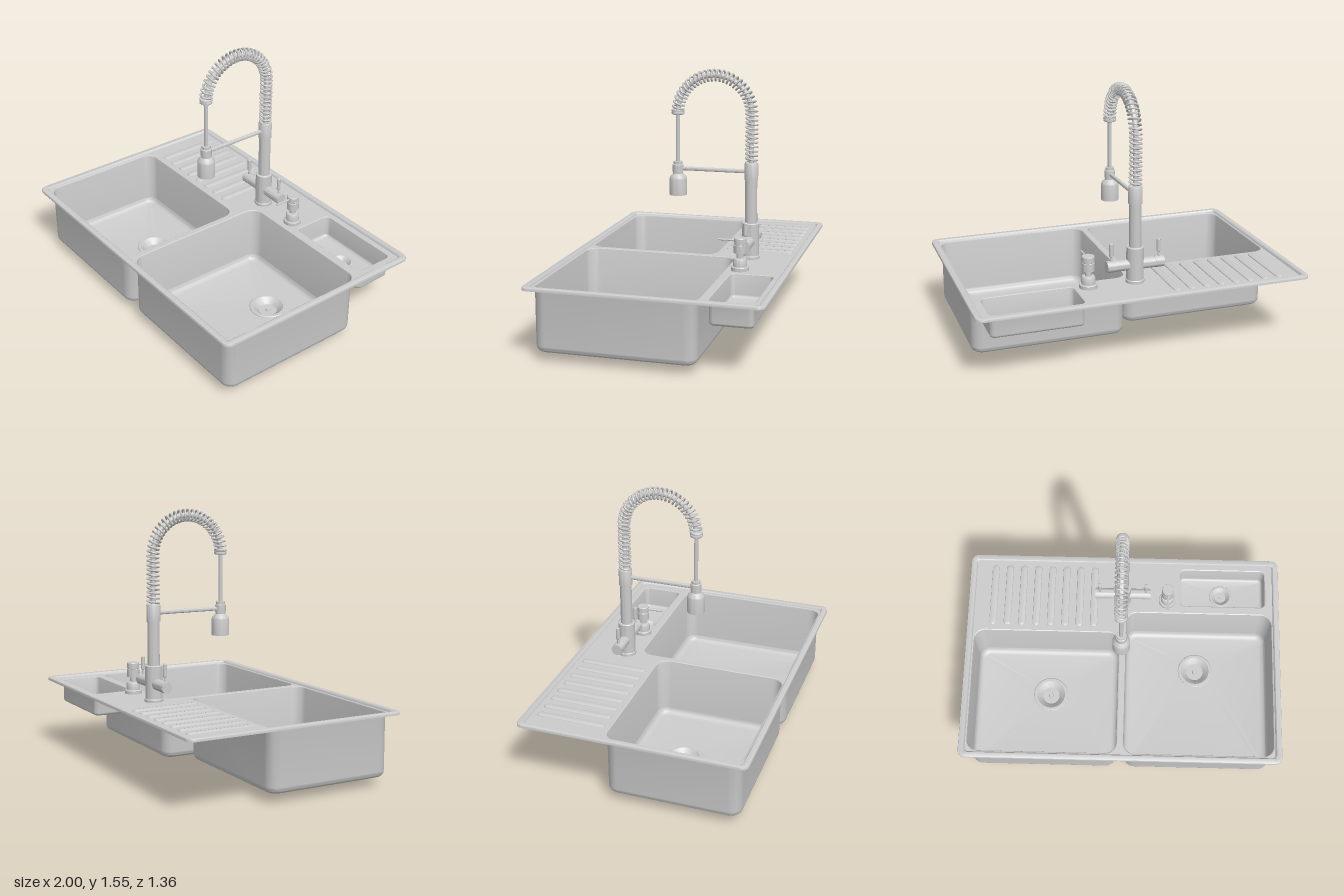
import * as THREE from 'three';
import { toCreasedNormals } from 'three/addons/utils/BufferGeometryUtils.js';

const steel = new THREE.MeshStandardMaterial({ color: 0xcccccc, side: THREE.DoubleSide });
const DECK = 0.422;          // level of the recessed deck
const FX = -0.005, FZ = -0.387; // tap axis

function add(parent, name, geo, x = 0, y = 0, z = 0, crease = 0.6) {
  const m = new THREE.Mesh(toCreasedNormals(geo, crease), steel);
  m.name = name;
  m.position.set(x, y, z);
  parent.add(m);
  return m;
}

// Plan outline of a rounded rectangle; equal half sizes and radius give a circle
function ring(cx, cz, hw, hd, r, n = 8) {
  const pts = [];
  [[1, 1], [-1, 1], [-1, -1], [1, -1]].forEach(([sx, sz], q) => {
    for (let i = 0; i <= n; i++) {
      const a = (q + i / n) * Math.PI / 2;
      pts.push([cx + sx * (hw - r) + r * Math.cos(a), cz + sz * (hd - r) + r * Math.sin(a)]);
    }
  });
  return pts;
}

// Skin through rings given as [outline, y]
function loft(rings) {
  const pos = [], idx = [], n = rings[0][0].length;
  rings.forEach(([pts, y]) => pts.forEach(([x, z]) => pos.push(x, y, z)));
  for (let j = 0; j < rings.length - 1; j++) {
    for (let i = 0; i < n; i++) {
      const a = j * n + i, b = j * n + (i + 1) % n;
      idx.push(a, a + n, b, b, a + n, b + n);
    }
  }
  const g = new THREE.BufferGeometry();
  g.setAttribute('position', new THREE.Float32BufferAttribute(pos, 3));
  g.setIndex(idx);
  return g;
}

const lathe = (pts, seg = 40) =>
  new THREE.LatheGeometry(pts.map(([r, y]) => new THREE.Vector2(r, y)), seg);
const rod = (r, h, seg = 24) => new THREE.CylinderGeometry(r, r, h, seg);
const toPath = (pts) => pts.map(([x, z]) => new THREE.Vector2(x, z));

const BOWLS = [
  { name: 'rightBowl', x0: -0.95, x1: -0.025, z0: -0.16, z1: 0.63, y: 0.05, r: 0.07, f: 0.04, dx: -0.468, dz: 0.148, s: 1 },
  { name: 'leftBowl', x0: 0.02, x1: 0.95, z0: -0.3, z1: 0.63, y: 0.05, r: 0.07, f: 0.04, dx: 0.482, dz: -0.038, s: 1 },
  { name: 'smallBowl', x0: 0.365, x1: 0.91, z0: -0.604, z1: -0.357, y: 0.28, r: 0.03, f: 0.02, dx: 0.637, dz: -0.483, s: 0.65 },
];

const bowlRing = (b, inset) => ring((b.x0 + b.x1) / 2, (b.z0 + b.z1) / 2,
  (b.x1 - b.x0) / 2 - inset, (b.z1 - b.z0) / 2 - inset, b.r - inset);

function buildBowl(b) {
  const g = new THREE.Group();
  g.name = b.name;
  // Soft lip, wall, rounded bottom edge, floor falling to the drain
  const rings = [[bowlRing(b, -0.007), DECK], [bowlRing(b, -0.002), DECK - 0.003], [bowlRing(b, 0), DECK - 0.01]];
  for (let i = 0; i <= 6; i++) {
    const a = i / 6 * Math.PI / 2;
    rings.push([bowlRing(b, b.f * (1 - Math.cos(a))), b.y + b.f * (1 - Math.sin(a))]);
  }
  const c = 0.1 * b.s;
  rings.push([ring(b.dx, b.dz, c, c, c), b.y - 0.004]);
  add(g, 'basin', loft(rings));
  // Drain cup with flange and centre pin
  const drain = add(g, 'drain', lathe([[0, 0.012], [0.04, 0.012], [0.045, 0], [0.06, 0], [0.08, 0.035],
    [0.112, 0.035], [0.113, 0.05], [0.108, 0.055], [0.092, 0.055], [0.085, 0.047], [0.06, 0.028],
    [0.055, 0.02], [0.016, 0.02], [0.013, 0.032], [0, 0.032]]), b.dx, b.y - 0.05 * b.s, b.dz);
  drain.scale.setScalar(b.s);
  return g;
}

function buildDeck() {
  const g = new THREE.Group();
  g.name = 'countertopPlate';
  const outline = (inset) => ring(0, 0, 1 - inset, 0.68 - inset, 0.045 - inset * 0.6);
  const shape = new THREE.Shape(toPath(outline(0.04)));
  BOWLS.forEach((b) => shape.holes.push(new THREE.Path(toPath(bowlRing(b, -0.007)))));
  add(g, 'deck', new THREE.ShapeGeometry(shape).rotateX(Math.PI / 2), 0, DECK, 0);
  add(g, 'rim', loft([[outline(0), 0.418], [outline(0), 0.43], [outline(0.002), 0.434],
    [outline(0.006), 0.436], [outline(0.032), 0.436], [outline(0.036), 0.433], [outline(0.04), DECK]]));
  // Drainboard ribs
  for (let i = 0; i < 8; i++) {
    const x = -0.838 + i * 0.0925;
    const rib = (w, y) => [ring(x, -0.405, w, 0.185 + w, w), y];
    add(g, 'drainRib', loft([rib(0.023, DECK), rib(0.021, DECK + 0.005), rib(0.016, DECK + 0.008), rib(0.001, DECK + 0.009)]));
  }
  return g;
}

function buildTap() {
  const g = new THREE.Group();
  g.name = 'tap';
  g.position.set(FX, 0, FZ);
  const REACH = 0.452, R = REACH / 2, BEND = 1.29, FOOT = 1.0;

  add(g, 'column', lathe([[0, DECK], [0.055, DECK], [0.055, 0.437], [0.051, 0.442], [0.051, 0.636], [0.047, 0.64],
    [0.036, 0.64], [0.036, 0.9], [0.041, 0.9], [0.041, 0.997], [0.038, 1.003], [0, 1.003]]));

  // Valve bar with two lever handles
  add(g, 'valveBar', rod(0.033, 0.35, 32).rotateZ(Math.PI / 2), 0, 0.53, 0);
  for (const s of [-1, 1]) {
    add(g, 'valveCap', rod(0.034, 0.05, 32).rotateZ(Math.PI / 2), s * 0.146, 0.53, 0);
    add(g, 'handle', lathe([[0, 0], [0.007, 0], [0.007, 0.035], [0.012, 0.04], [0.012, 0.112], [0.009, 0.115], [0, 0.115]], 20),
      s * 0.146, 0.555, 0);
  }

  // Centre line of the arched hose
  const straight = BEND - FOOT, total = straight + Math.PI * R;
  const frame = (d) => {
    if (d < straight) return { y: FOOT + d, z: 0, a: 0 };
    const a = (d - straight) / R;
    return { y: BEND + R * Math.sin(a), z: R - R * Math.cos(a), a };
  };
  const along = (fn) => {
    const c = new THREE.Curve();
    c.getPoint = (t, out = new THREE.Vector3()) => fn(t, out);
    return c;
  };
  const hose = along((t, out) => { const f = frame(t * total); return out.set(0, f.y, f.z); });
  add(g, 'hose', new THREE.TubeGeometry(hose, 60, 0.015, 12), 0, 0, 0, 1);

  // Coil spring wound around the hose
  const TURNS = 38, COIL = 0.033;
  const spring = along((t, out) => {
    const f = frame(t * total), w = t * TURNS * Math.PI * 2, o = COIL * Math.sin(w);
    return out.set(COIL * Math.cos(w), f.y - o * Math.sin(f.a), f.z + o * Math.cos(f.a));
  });
  spring.arcLengthDivisions = 3000;
  add(g, 'spring', new THREE.TubeGeometry(spring, TURNS * 18, 0.0065, 6), 0, 0, 0, 1.2);

  // Spring end collar, down pipe and spray head
  add(g, 'springCollar', lathe([[0, 0], [0.034, 0], [0.038, 0.004], [0.038, 0.014], [0.034, 0.016], [0.038, 0.018],
    [0.038, 0.028], [0.034, 0.032], [0, 0.032]]), 0, 1.277, REACH);
  add(g, 'downPipe', rod(0.012, 0.32), 0, 1.13, REACH);
  add(g, 'sprayHead', lathe([[0, 0.8], [0.044, 0.8], [0.047, 0.788], [0.053, 0.788], [0.053, 0.885], [0.05, 0.897],
    [0.036, 0.912], [0.03, 0.918], [0.03, 0.93], [0.033, 0.93], [0.033, 0.972], [0.027, 0.976], [0.027, 0.992], [0, 0.992]]), 0, 0, REACH);
  add(g, 'supportArm', rod(0.012, REACH - 0.05).rotateX(Math.PI / 2), 0, 0.95, REACH / 2);
  return g;
}

function buildDispenser() {
  const g = new THREE.Group();
  g.name = 'soapDispenser';
  g.position.set(0.28, 0, FZ);
  add(g, 'body', lathe([[0, DECK], [0.053, DECK], [0.053, 0.442], [0.05, 0.446], [0.041, 0.446], [0.041, 0.482],
    [0.036, 0.492], [0.02, 0.495], [0.02, 0.525], [0.037, 0.525], [0.037, 0.572], [0.034, 0.575], [0.037, 0.578],
    [0.037, 0.61], [0.034, 0.614], [0, 0.614]]));
  add(g, 'spout', rod(0.006, 0.1, 14).rotateX(Math.PI / 2), 0, 0.597, 0.08);
  return g;
}

export function createModel() {
  const model = new THREE.Group();
  model.name = 'kitchenSink';
  model.add(buildDeck(), ...BOWLS.map(buildBowl), buildTap(), buildDispenser());
  return model;
}
